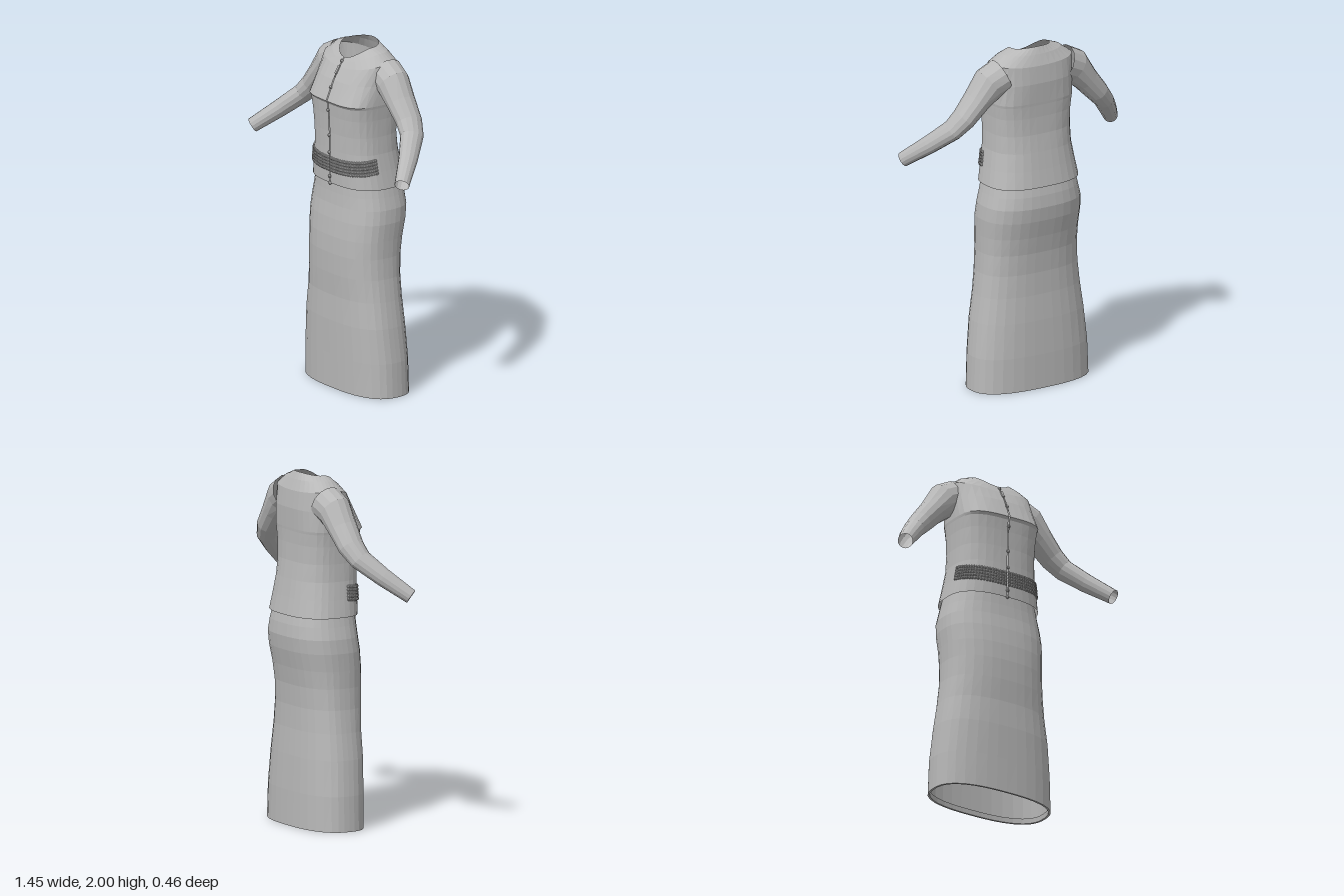
import * as THREE from 'three';
import { mergeGeometries } from 'three/addons/utils/BufferGeometryUtils.js';

// Skin a list of point rings, from first to last
function loft(rings) {
  const n = rings[0].length, pos = [], idx = [];
  rings.forEach(r => r.forEach(p => pos.push(p.x, p.y, p.z)));
  for (let i = 0; i < rings.length - 1; i++) {
    for (let j = 0; j < n - 1; j++) {
      const a = i * n + j, b = a + 1, c = a + n, d = c + 1;
      idx.push(a, b, d, a, d, c);
    }
  }
  const g = new THREE.BufferGeometry();
  g.setAttribute('position', new THREE.Float32BufferAttribute(pos, 3));
  g.setIndex(idx);
  g.computeVertexNormals();
  return g;
}

// Point on a rounded section; t = 0 is the front centre, t = PI / 2 the left side.
// Section: [frontY, sideY, backY, halfWidth, frontZ, backZ, centreZ, squareness]
function sectionPoint([yF, yS, yB, w, zF, zB, cz, n], t) {
  const s = Math.sin(t), c = Math.cos(t);
  const r = Math.pow(Math.abs(s) ** n + Math.abs(c) ** n, -1 / n);
  const depth = c > 0 ? zF - cz : cz - zB;
  return new THREE.Vector3(w * s * r, yS + ((c > 0 ? yF : yB) - yS) * c * c, cz + depth * c * r);
}

function sectionLoft(sections, gap, steps = 36) {
  return loft(sections.map(sec => Array.from({ length: steps + 1 },
    (_, j) => sectionPoint(sec, gap + (2 * Math.PI - 2 * gap) * j / steps))));
}

const level = (y, w, zF, zB, cz, n) => [y, y, y, w, zF, zB, cz, n];

// Skirt from the turned-in hem up to the waist
const skirtSections = [
  level(0.03, 0.36, 0.162, -0.182, -0.01, 2.6),
  level(0.0, 0.362, 0.164, -0.184, -0.01, 2.6),
  level(0.0, 0.374, 0.175, -0.195, -0.01, 2.6),
  level(0.2, 0.366, 0.18, -0.192, -0.01, 2.6),
  level(0.4, 0.345, 0.186, -0.184, 0, 2.6),
  level(0.55, 0.322, 0.185, -0.174, 0, 2.6),
  level(0.68, 0.306, 0.194, -0.172, 0, 2.6),
  level(0.8, 0.3, 0.198, -0.18, 0, 2.6),
  level(0.9, 0.302, 0.195, -0.197, 0, 2.6),
  level(1.0, 0.306, 0.186, -0.22, -0.01, 2.6),
  level(1.08, 0.3, 0.175, -0.23, -0.02, 2.6),
  level(1.15, 0.283, 0.17, -0.223, -0.02, 2.6),
  level(1.21, 0.27, 0.168, -0.21, -0.02, 2.6),
  level(1.27, 0.25, 0.16, -0.19, -0.02, 2.6),
];

// Jacket body from hem to neckline
const jacketSections = [
  level(1.2, 0.284, 0.178, -0.225, -0.02, 2.7),
  level(1.3, 0.266, 0.182, -0.207, -0.01, 2.7),
  level(1.4, 0.25, 0.182, -0.191, 0, 2.7),
  level(1.5, 0.244, 0.183, -0.177, 0, 2.9),
  level(1.6, 0.244, 0.188, -0.173, 0, 3.2),
  level(1.67, 0.248, 0.194, -0.174, 0, 3.5),
  level(1.685, 0.25, 0.205, -0.175, 0, 3.6),
  level(1.8, 0.248, 0.155, -0.18, -0.03, 3),
  [1.87, 1.915, 1.9, 0.25, 0.115, -0.17, -0.05, 2.6],
  [1.9, 1.963, 1.96, 0.185, 0.094, -0.145, -0.04, 2.3],
  [1.92, 1.985, 2.0, 0.12, 0.08, -0.125, -0.03, 2],
];

// Point on the jacket surface at height y
function jacketPoint(t, y) {
  let i = 0;
  const at = k => sectionPoint(jacketSections[k], t);
  while (i < jacketSections.length - 2 && at(i + 1).y < y) i++;
  const a = at(i), b = at(i + 1);
  return a.lerp(b, (y - a.y) / (b.y - a.y));
}

// Sleeve: [x, y, z, depth radius, height radius]
const sleevePath = [
  [0.2, 1.848, -0.058, 0.1, 0.102],
  [0.28, 1.81, -0.05, 0.095, 0.1],
  [0.36, 1.72, -0.045, 0.086, 0.074],
  [0.44, 1.63, -0.04, 0.077, 0.064],
  [0.5, 1.565, -0.015, 0.068, 0.055],
  [0.59, 1.47, 0.08, 0.055, 0.05],
  [0.69, 1.365, 0.2, 0.042, 0.042],
];

function sleeveGeometry(side) {
  const centre = sleevePath.map(p => new THREE.Vector3(p[0], p[1], p[2]));
  const last = centre.length - 1, steps = 14;
  const rings = centre.map((c, i) => {
    const into = centre[Math.max(i, 1)].clone().sub(centre[Math.max(i, 1) - 1]).normalize();
    const out = centre[Math.min(i + 1, last)].clone().sub(centre[Math.min(i, last - 1)]).normalize();
    const T = into.add(out).normalize();
    const U = new THREE.Vector3(0, 0, 1).addScaledVector(T, -T.z).normalize();
    const V = T.clone().cross(U);
    return Array.from({ length: steps + 1 }, (_, j) => {
      const a = side * 2 * Math.PI * j / steps;
      const p = c.clone().addScaledVector(U, sleevePath[i][3] * Math.cos(a))
        .addScaledVector(V, sleevePath[i][4] * Math.sin(a));
      p.x *= side;
      return p;
    });
  });
  return loft(rings);
}

export function createModel() {
  const model = new THREE.Group();
  const cloth = new THREE.MeshStandardMaterial({ color: 0xb8b8b8, flatShading: true, side: THREE.DoubleSide });
  cloth.name = 'grey cloth';
  const add = (name, geometry) => {
    const mesh = new THREE.Mesh(geometry, cloth);
    mesh.name = name;
    model.add(mesh);
  };

  add('skirt', sectionLoft(skirtSections, 0));
  add('jacketBody', sectionLoft(jacketSections, 0.012));
  add('leftSleeve', sleeveGeometry(1));
  add('rightSleeve', sleeveGeometry(-1));

  // Beaded belt: five rows either side of the opening
  const beads = [];
  for (const side of [-1, 1]) {
    for (let row = 0; row < 5; row++) {
      for (let k = 0; k < 21; k++) {
        const f = k / 20, t = side * (0.045 + 1.22 * f);
        const p = jacketPoint(t, 1.278 + row * 0.0175 + 0.02 * f * f);
        beads.push(new THREE.SphereGeometry(0.01, 6, 4).translate(p.x, p.y, p.z));
      }
    }
  }
  add('beadedBelt', mergeGeometries(beads));

  // Buttons and the neck loop down the front opening
  const buttons = [1.2, 1.24, 1.38, 1.48, 1.63, 1.76, 1.9].map(y => {
    const p = jacketPoint(0, y);
    return new THREE.SphereGeometry(0.01, 8, 6).translate(0, y, p.z + 0.003);
  });
  add('buttons', mergeGeometries(buttons));
  const loop = jacketPoint(0, 1.855);
  add('neckLoop', new THREE.BoxGeometry(0.014, 0.05, 0.01).rotateX(-0.55).translate(0, loop.y, loop.z + 0.003));

  return model;
}
